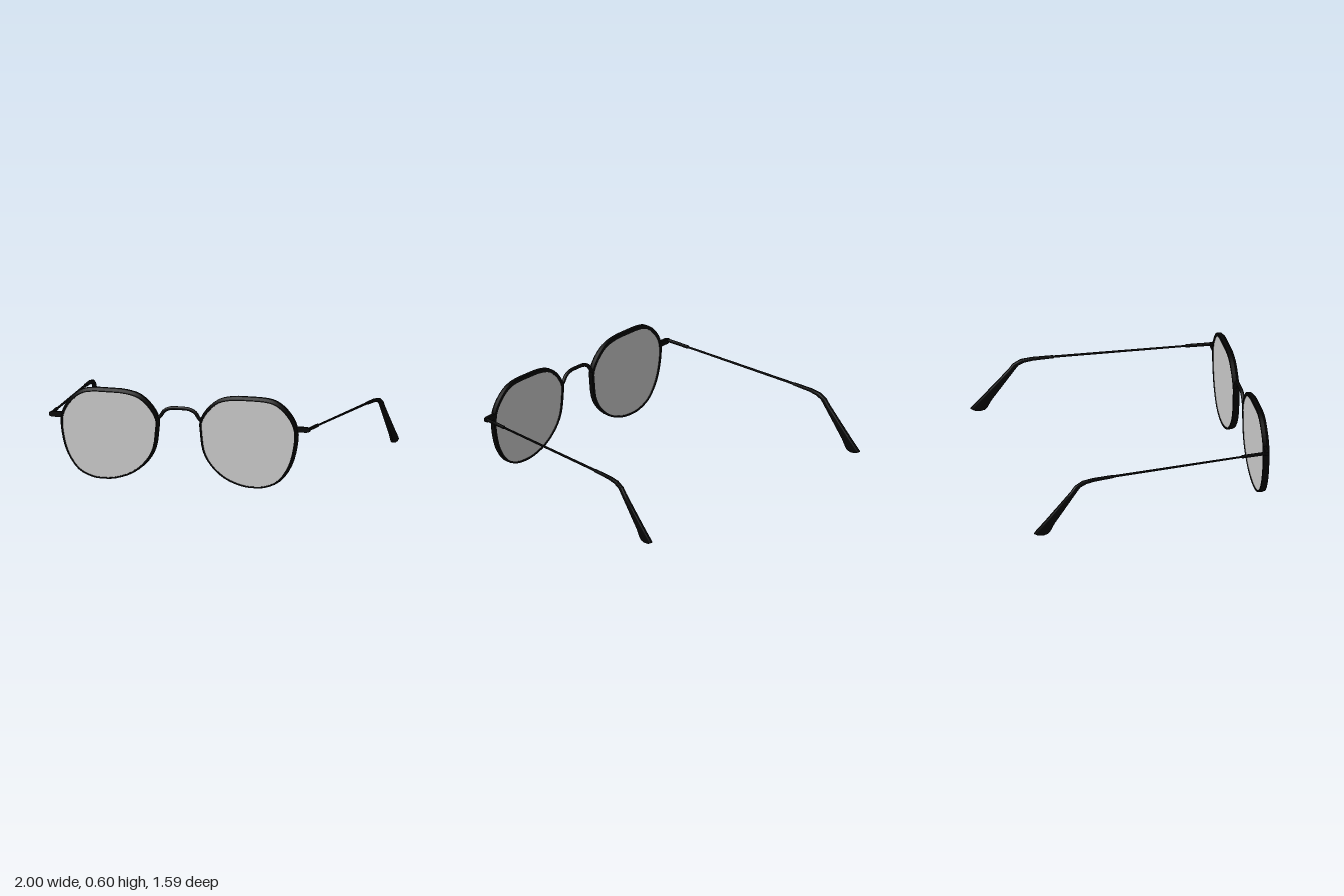
import * as THREE from 'three';
import { toCreasedNormals } from 'three/addons/utils/BufferGeometryUtils.js';

const black = new THREE.MeshStandardMaterial({ color: 0x040404 });
const grey = new THREE.MeshStandardMaterial({ color: 0xcccccc });

// Skin a list of rings (arrays of Vector3), either closed in a loop or capped.
function loft(rings, closed = false) {
  const n = rings[0].length, m = rings.length, index = [];
  for (let i = 0; i < (closed ? m : m - 1); i++) {
    for (let j = 0; j < n; j++) {
      const k = (j + 1) % n, p = i * n, q = ((i + 1) % m) * n;
      index.push(p + j, p + k, q + k, p + j, q + k, q + j);
    }
  }
  if (!closed) {
    const e = (m - 1) * n;
    for (let j = 1; j < n - 1; j++) index.push(0, j + 1, j, e, e + j, e + j + 1);
  }
  const geo = new THREE.BufferGeometry().setFromPoints(rings.flat());
  geo.setIndex(index);
  return toCreasedNormals(geo, 0.6);
}

// Mirror an unindexed geometry across x = 0, keeping its faces outward.
function mirrored(source) {
  const geo = source.clone().scale(-1, 1, 1);
  for (const attr of Object.values(geo.attributes)) {
    const s = attr.itemSize, a = attr.array;
    for (let t = 0; t < attr.count; t += 3) {
      for (let c = 0; c < s; c++) {
        const p = (t + 1) * s + c, q = (t + 2) * s + c;
        [a[p], a[q]] = [a[q], a[p]];
      }
    }
  }
  return geo;
}

// Lens outline, counter-clockwise seen from the front
const outline = new THREE.CatmullRomCurve3([
  [0.58, 0.598], [0.47, 0.6], [0.355, 0.596], [0.26, 0.57], [0.18, 0.50], [0.137, 0.42],
  [0.139, 0.35], [0.158, 0.225], [0.21, 0.135], [0.305, 0.055], [0.42, 0.012], [0.5, 0.004],
  [0.58, 0.012], [0.675, 0.057], [0.75, 0.16], [0.788, 0.29], [0.794, 0.40], [0.767, 0.475],
  [0.705, 0.548], [0.645, 0.585],
].map(([x, y]) => new THREE.Vector3(x, y, 0)), true);
const SEGMENTS = 60;
const edge = Array.from({ length: SEGMENTS }, (_, i) => {
  const p = outline.getPoint(i / SEGMENTS), t = outline.getTangent(i / SEGMENTS);
  return { p, nx: t.y, ny: -t.x };
});
const inset = ({ p, nx, ny }, d, z) => new THREE.Vector3(p.x - nx * d, p.y - ny * d, z);

// Rim: bevelled at the front, heavier along the brow
function rimGeometry() {
  return loft(edge.map((e) => {
    const bevel = 0.011 + 0.007 * e.ny, width = 0.018 + 0.006 * e.ny;
    return [
      inset(e, bevel, 0.795), inset(e, 0, 0.777), inset(e, 0, 0.752),
      inset(e, width, 0.752), inset(e, width, 0.795),
    ];
  }), true);
}

// Lens: slab almost flush with both faces of the rim
function lensGeometry() {
  const shape = new THREE.Shape(edge.map((e) => {
    const v = inset(e, 0.008 + 0.004 * e.ny, 0);
    return new THREE.Vector2(v.x, v.y);
  }));
  return new THREE.ExtrudeGeometry(shape, { depth: 0.03, bevelEnabled: false }).translate(0, 0, 0.756);
}

// Temple pieces: sections are [upper z, upper y, lower z, lower y, half thickness],
// squared-off ovals; the arm splays outward towards the back.
const splay = (z) => 0.862 + (0.757 - z) * 0.0806;
const squared = (v) => Math.sign(v) * Math.sqrt(Math.abs(v));
function armGeometry(sections, sides = 16) {
  return loft(sections.map(([za, ya, zb, yb, t]) =>
    Array.from({ length: sides }, (_, j) => {
      const a = (j / sides) * Math.PI * 2, c = squared(Math.cos(a)) / 2;
      const z = (za + zb) / 2 + (za - zb) * c;
      const y = (ya + yb) / 2 + (ya - yb) * c;
      return new THREE.Vector3(splay(z) + t * squared(Math.sin(a)), y, z);
    })));
}

const hinge = () => armGeometry([
  [0.757, 0.418, 0.757, 0.397, 0.008], [0.595, 0.414, 0.595, 0.394, 0.009],
]);
const wire = () => armGeometry([
  [0.61, 0.409, 0.61, 0.399, 0.007], [-0.27, 0.383, -0.27, 0.372, 0.01],
]);
const earTip = () => armGeometry([
  [-0.26, 0.386, -0.26, 0.369, 0.011],
  [-0.40, 0.381, -0.39, 0.360, 0.012],
  [-0.47, 0.370, -0.445, 0.350, 0.013],
  [-0.52, 0.341, -0.486, 0.330, 0.013],
  [-0.548, 0.304, -0.52, 0.285, 0.013],
  [-0.645, 0.20, -0.60, 0.175, 0.013],
  [-0.72, 0.12, -0.655, 0.10, 0.013],
  [-0.787, 0.052, -0.685, 0.045, 0.013],
  [-0.793, 0.042, -0.70, 0.032, 0.013],
  [-0.77, 0.030, -0.72, 0.027, 0.012],
]);

// End piece: small lug joining rim and hinge, tapered at its outer end
function lugGeometry() {
  return loft([[0.775, 0.018], [0.855, 0.017], [0.874, 0.011]].map(([x, h]) =>
    [[1, 1], [1, -1], [-1, -1], [-1, 1]].map(([a, b]) =>
      new THREE.Vector3(x, 0.406 + a * h, 0.762 - b * 0.011))));
}

// Bridge: arched wire between the rims
function bridgeGeometry() {
  const half = [[0.15, 0.415], [0.125, 0.442], [0.105, 0.471], [0.065, 0.491]];
  const points = [
    ...half.map(([x, y]) => [-x, y]), [0, 0.495], ...half.reverse(),
  ].map(([x, y]) => new THREE.Vector3(x, y, 0.763));
  return new THREE.TubeGeometry(new THREE.CatmullRomCurve3(points), 36, 0.012, 10);
}

export function createModel() {
  const model = new THREE.Group();
  model.name = 'glasses';
  const add = (parent, name, geo, material) => {
    const mesh = new THREE.Mesh(geo, material);
    mesh.name = name;
    parent.add(mesh);
  };

  add(model, 'bridge', bridgeGeometry(), black);

  const parts = [
    ['Rim', rimGeometry(), black], ['Lens', lensGeometry(), grey],
    ['EndPiece', lugGeometry(), black], ['Hinge', hinge(), black],
    ['TempleWire', wire(), black], ['EarTip', earTip(), black],
  ];
  for (const side of ['left', 'right']) {
    const group = new THREE.Group();
    group.name = side + 'Side';
    for (const [name, geo, material] of parts) {
      add(group, side + name, side === 'left' ? geo : mirrored(geo), material);
    }
    model.add(group);
  }
  return model;
}
